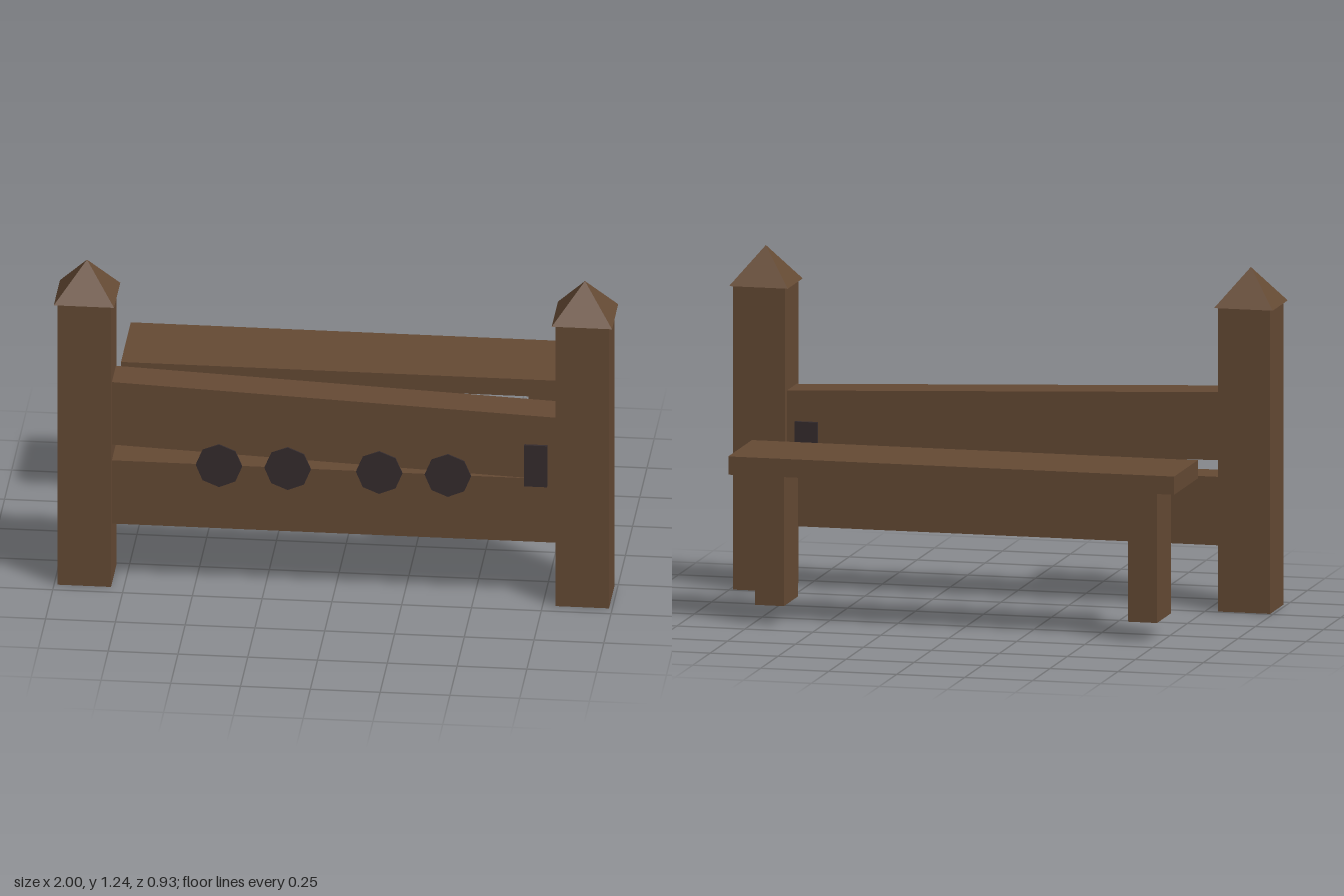
import * as THREE from 'three';

export function createModel() {
  const wood = new THREE.MeshStandardMaterial({ color: 0x654a34 });
  wood.name = 'brown wood';
  const dark = new THREE.MeshStandardMaterial({ color: 0x352c2e });
  dark.name = 'dark iron';

  const model = new THREE.Group();
  model.name = 'stocks';

  function add(name, geometry, material, x = 0, y = 0, z = 0) {
    const mesh = new THREE.Mesh(geometry, material);
    mesh.name = name;
    mesh.position.set(x, y, z);
    model.add(mesh);
    return mesh;
  }
  // Box given by its lower and upper limits on each axis
  function box(name, material, [x0, x1], [y0, y1], [z0, z1]) {
    return add(name, new THREE.BoxGeometry(x1 - x0, y1 - y0, z1 - z0), material,
      (x0 + x1) / 2, (y0 + y1) / 2, (z0 + z1) / 2);
  }

  // Posts with pyramid caps, and bench legs, one on each side
  const capHalf = 0.108;
  for (const [side, s] of [['right', -1], ['left', 1]]) {
    const cx = s * 0.892;
    box(side + 'Post', wood, [cx - 0.096, cx + 0.096], [0, 1.1], [0.26, 0.455]);
    const cap = new THREE.ConeGeometry(capHalf * Math.SQRT2, 0.135, 4).rotateY(Math.PI / 4).toNonIndexed();
    cap.computeVertexNormals();
    add(side + 'PostCap', cap, wood, cx, 1.1675, 0.3575);
    box(side + 'BenchLeg', wood, [s * 0.686 - 0.053, s * 0.686 + 0.053], [0.07, 0.55], [-0.395, -0.19]);
  }

  // Fixed lower board
  box('lowerBoard', wood, [-0.797, 0.797], [0.235, 0.483], [0.285, 0.425]);

  // Hinged upper board, slightly raised at its free end
  const outline = new THREE.Shape([
    new THREE.Vector2(-0.797, 0.545), new THREE.Vector2(0.797, 0.48),
    new THREE.Vector2(0.797, 0.725), new THREE.Vector2(-0.797, 0.79),
  ]);
  add('upperBoard', new THREE.ExtrudeGeometry(outline, { depth: 0.14, bevelEnabled: false }),
    wood, 0, 0, 0.285);

  // Limb holes as thin dark octagons on the front
  for (const x of [-0.412, -0.166, 0.162, 0.408]) {
    add('limbHole', new THREE.CylinderGeometry(0.083, 0.083, 0.008, 8).rotateX(Math.PI / 2),
      dark, x, 0.482, 0.427);
  }

  // Iron hinge wrapped through both boards
  box('hinge', dark, [0.682, 0.764], [0.455, 0.616], [0.272, 0.435]);

  // Bench seat
  box('benchSeat', wood, [-0.82, 0.82], [0.55, 0.616], [-0.465, -0.125]);

  return model;
}
